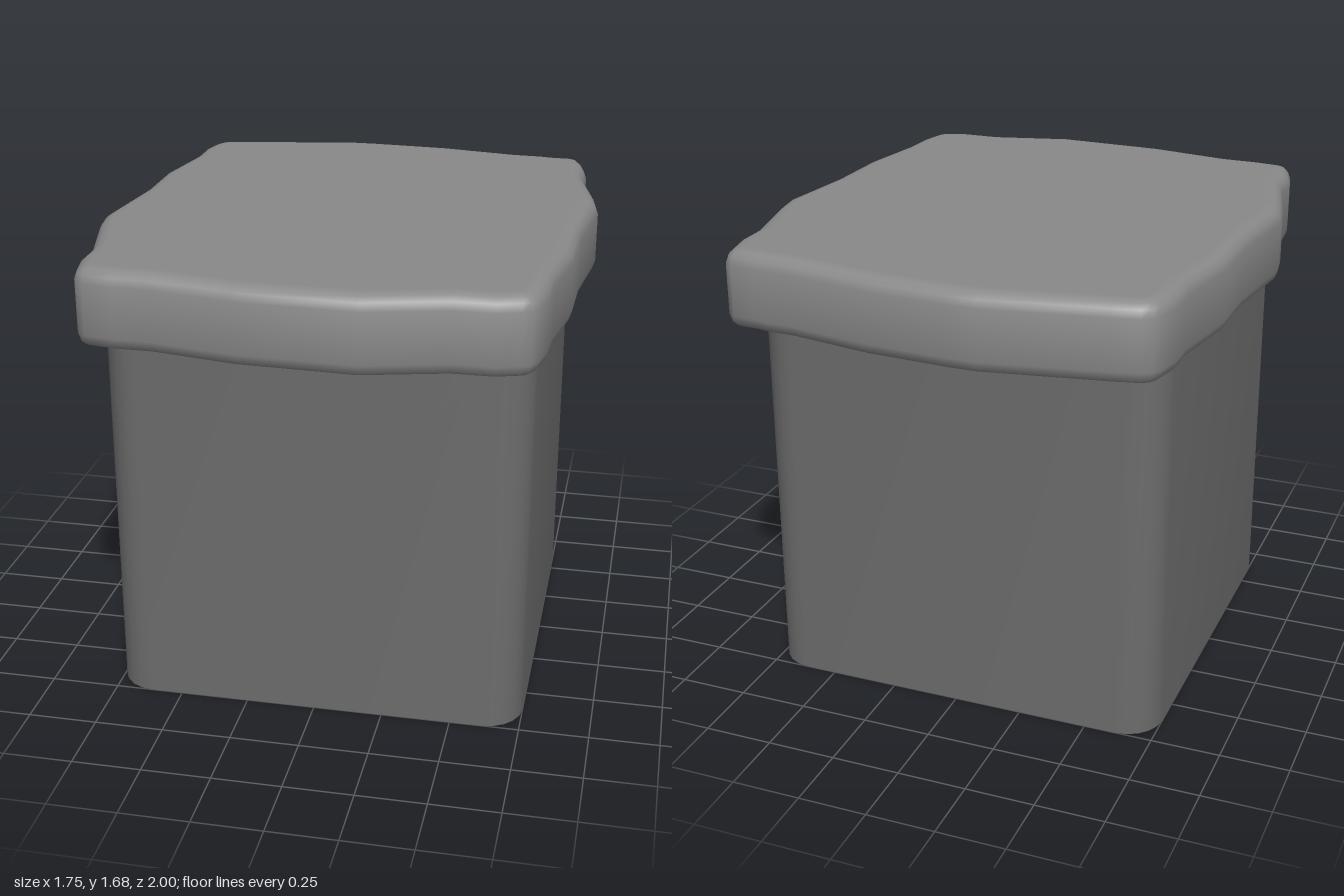
import * as THREE from 'three';
import { toCreasedNormals } from 'three/addons/utils/BufferGeometryUtils.js';

// Uneven rim of the slab as [x, z], clockwise from above
const RIM = [
  [-0.795, -0.76], [-0.775, -0.85], [-0.755, -0.885], [-0.72, -0.905], [-0.63, -0.925], [-0.2, -1], [-0.1, -1],
  [0.2, -0.98], [0.5, -0.925], [0.6, -0.92], [0.65, -0.91], [0.73, -0.905], [0.76, -0.885], [0.775, -0.85],
  [0.795, -0.75], [0.795, -0.63], [0.86, -0.35], [0.875, -0.25], [0.84, 0.07], [0.835, 0.35], [0.795, 0.62],
  [0.79, 0.75], [0.77, 0.85], [0.75, 0.885], [0.72, 0.9], [0.64, 0.925], [0.5, 0.925], [0.21, 0.998],
  [-0.2, 0.98], [-0.5, 0.923], [-0.63, 0.92], [-0.73, 0.905], [-0.76, 0.885], [-0.775, 0.85], [-0.795, 0.75],
  [-0.795, 0.63], [-0.865, 0.35], [-0.88, 0.25], [-0.84, -0.1], [-0.84, -0.35], [-0.795, -0.63],
];

// Square with rounded corners, clockwise from above
function roundedSquare(half, radius, steps) {
  const pts = [];
  for (const [sx, sz, start] of [[-1, -1, 2], [1, -1, 3], [1, 1, 0], [-1, 1, 1]]) {
    for (let i = 0; i <= steps; i++) {
      const a = (start + i / steps) * Math.PI / 2;
      pts.push([sx * (half - radius) + radius * Math.cos(a), sz * (half - radius) + radius * Math.sin(a)]);
    }
  }
  return pts;
}

// Stacks [height, inset] copies of an outline and closes both ends
function loft(outline, levels) {
  const n = outline.length, pos = [], index = [];
  const inward = outline.map((p, j) => {
    const a = outline[(j + n - 1) % n], b = outline[(j + 1) % n];
    return new THREE.Vector2(a[1] - b[1], b[0] - a[0]).normalize();
  });
  for (const [y, inset] of levels) {
    outline.forEach(([x, z], j) => pos.push(x + inward[j].x * inset, y, z + inward[j].y * inset));
  }
  const bottom = pos.length / 3, top = bottom + 1, last = (levels.length - 1) * n;
  pos.push(0, levels[0][0], 0, 0, levels[levels.length - 1][0], 0);
  for (let j = 0; j < n; j++) {
    const k = (j + 1) % n;
    for (let r = 0; r < last; r += n) {
      index.push(r + k, r + j, r + n + j, r + k, r + n + j, r + n + k);
    }
    index.push(bottom, j, k, top, last + k, last + j);
  }
  const geo = new THREE.BufferGeometry();
  geo.setAttribute('position', new THREE.Float32BufferAttribute(pos, 3));
  geo.setIndex(index);
  return toCreasedNormals(geo, 0.75);
}

export function createModel() {
  const group = new THREE.Group();
  const add = (name, color, geometry) => {
    const mesh = new THREE.Mesh(geometry, new THREE.MeshStandardMaterial({ color }));
    mesh.name = name;
    group.add(mesh);
  };

  // Dark block-shaped base with softened upright corners
  add('base', 0x6c6c6c, loft(roundedSquare(0.75, 0.135, 5), [[0, 0], [1.404, 0]]));

  // Lighter overhanging slab with worn edges; the last ring keeps the top flat
  add('topSlab', 0x898989, loft(RIM, [
    [1.41, 0.022], [1.42, 0.01], [1.45, 0], [1.63, 0], [1.657, 0.01], [1.673, 0.028], [1.68, 0.05], [1.68, 0.07],
  ]));
  return group;
}
